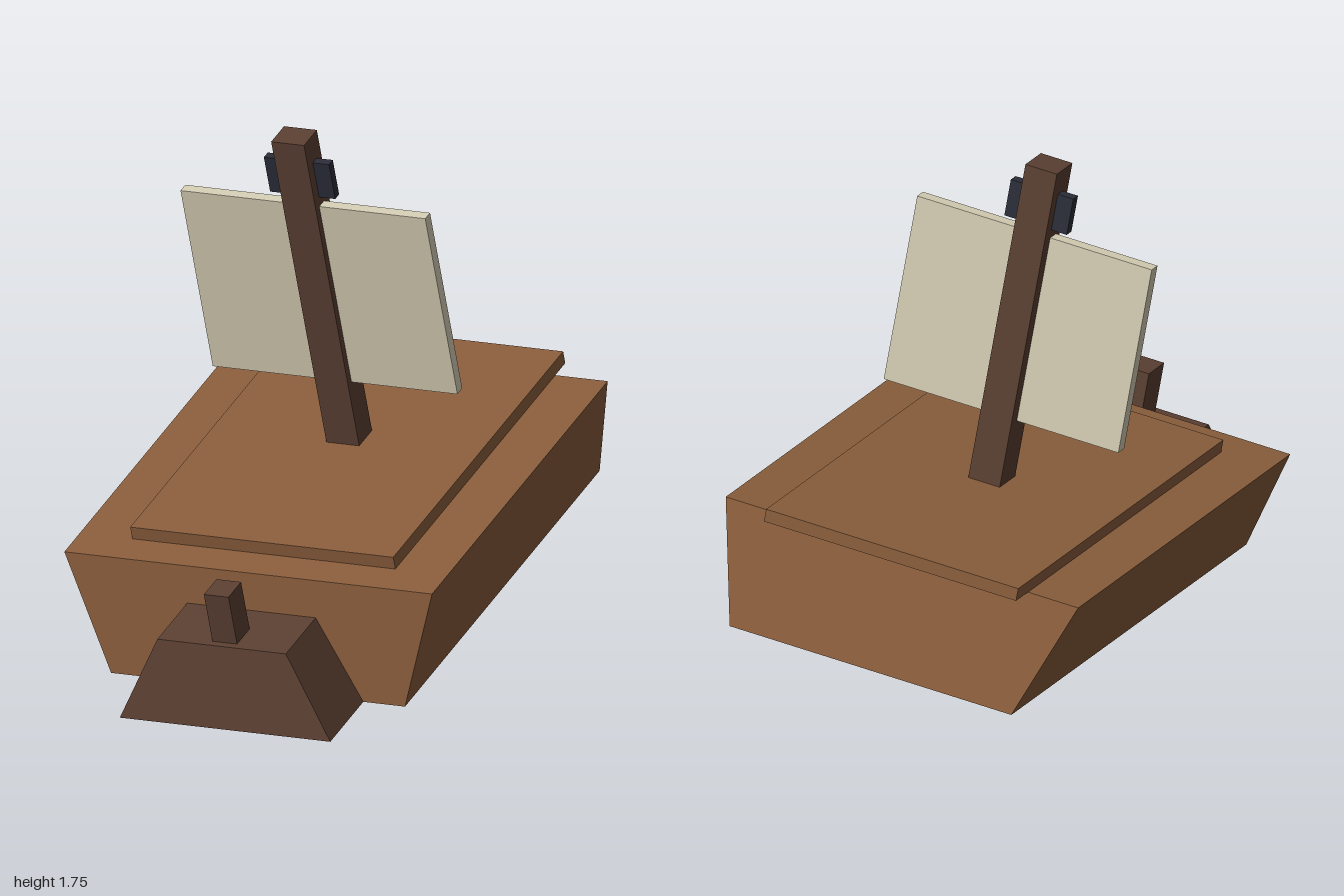
import * as THREE from 'three';

const mat = (name, color) => {
  const m = new THREE.MeshStandardMaterial({ color });
  m.name = name;
  return m;
};

export function createModel() {
  const model = new THREE.Group();
  model.name = 'raft';

  const wood = mat('plankBrown', 0x8b5e3c);
  const darkWood = mat('darkBrown', 0x5c4033);
  const cloth = mat('canvasCream', 0xd6ceb5);
  const slate = mat('slateBlue', 0x2b2e3a);

  // The whole craft rolls and pitches with a slight shear; local origin is the deck centre
  const tilt = new THREE.Matrix4().makeBasis(
    new THREE.Vector3(1, 0.066, 0.007),
    new THREE.Vector3(-0.12, 1, 0.13),
    new THREE.Vector3(0, -0.085, 1)
  ).setPosition(0, 0.53, -0.0925);

  // Block from y0 to y1 with separate bottom and top half-sizes [x, z], centred on z
  function block(name, material, y0, y1, z, bottom, top = bottom) {
    const geo = new THREE.BoxGeometry(2, 1, 2);
    const p = geo.attributes.position;
    for (let i = 0; i < p.count; i++) {
      const isTop = p.getY(i) > 0;
      const [hx, hz] = isTop ? top : bottom;
      p.setXYZ(i, p.getX(i) * hx, isTop ? y1 : y0, z + p.getZ(i) * hz);
    }
    geo.applyMatrix4(tilt);
    geo.computeVertexNormals();
    const mesh = new THREE.Mesh(geo, material);
    mesh.name = name;
    model.add(mesh);
  }

  // Hull flares in width and narrows in length towards the deck
  block('hull', wood, -0.405, 0, 0, [0.5375, 0.85], [0.6725, 0.767]);
  block('deckPanel', wood, 0, 0.045, -0.112, [0.481, 0.742]);

  // Bow with its short post
  block('bow', darkWood, -0.405, -0.13, 0.916, [0.385, 0.222], [0.235, 0.138]);
  block('bowPost', darkWood, -0.13, 0.05, 0.971, [0.045, 0.055]);

  // Mast carrying the sail and a crosspiece
  block('mast', darkWood, 0.045, 1.2, -0.134, [0.06, 0.056]);
  block('sail', cloth, 0.275, 0.95, -0.128, [0.4475, 0.021]);
  block('crosspiece', slate, 0.98, 1.112, -0.135, [0.119, 0.017]);

  return model;
}
